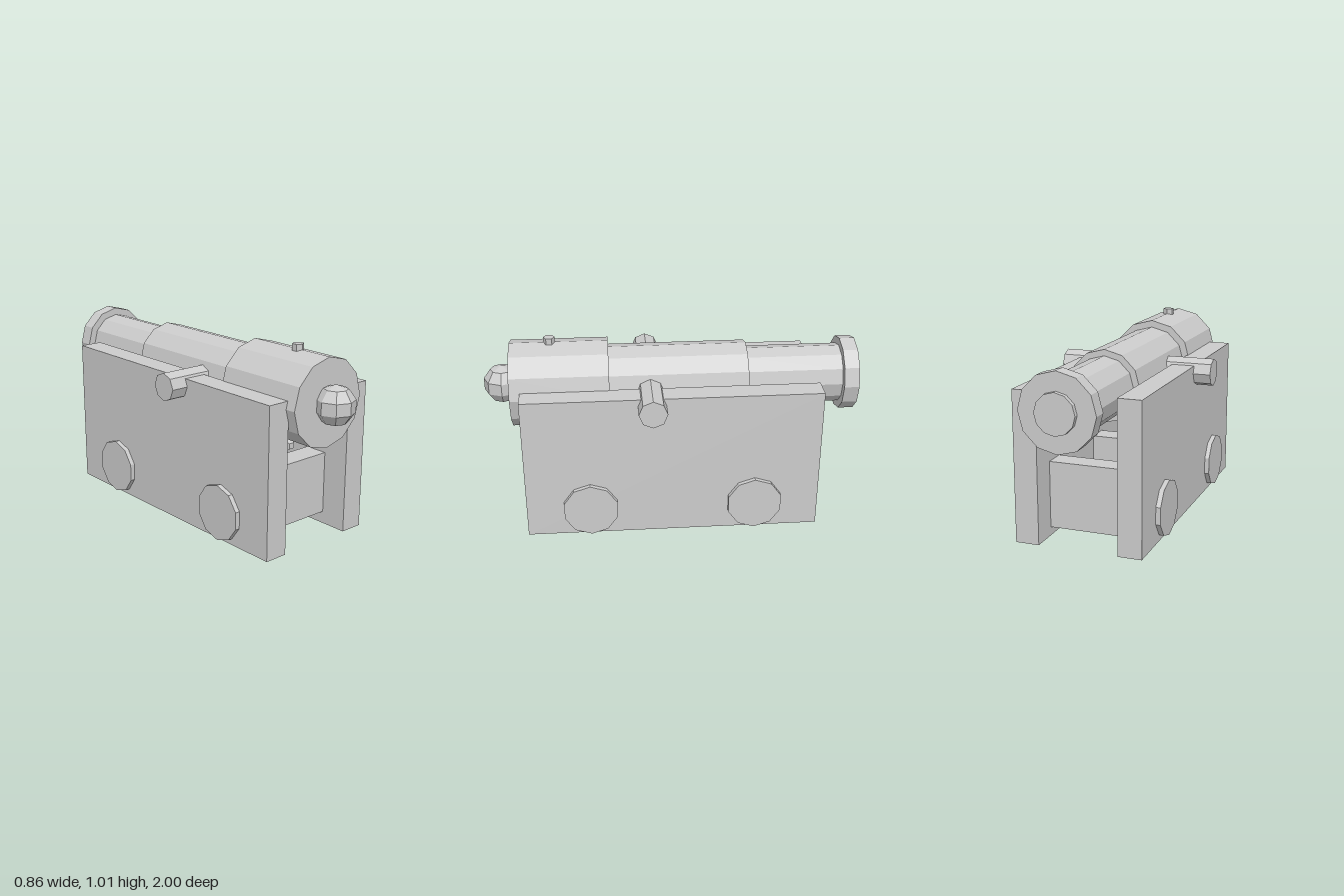
import * as THREE from 'three';

export function createModel() {
  const group = new THREE.Group();
  group.name = 'cannon';
  const mat = new THREE.MeshStandardMaterial({ color: 0xcccccc, flatShading: true });

  const add = (name, geo, x = 0, y = 0, z = 0) => {
    const mesh = new THREE.Mesh(geo, mat);
    mesh.name = name;
    mesh.position.set(x, y, z);
    group.add(mesh);
    return mesh;
  };
  // box given by its limits along each axis
  const block = (name, [x0, x1], [y0, y1], [z0, z1]) =>
    add(name, new THREE.BoxGeometry(x1 - x0, y1 - y0, z1 - z0), (x0 + x1) / 2, (y0 + y1) / 2, (z0 + z1) / 2);
  // cylinder lying along z, with a corner at the top
  const alongZ = (name, r, z0, z1, sides = 12) =>
    add(name, new THREE.CylinderGeometry(r, r, z1 - z0, sides).rotateX(Math.PI / 2), 0, 0.75, (z0 + z1) / 2);
  // cylinder lying along x
  const alongX = (name, r, length, sides, x, y, z) =>
    add(name, new THREE.CylinderGeometry(r, r, length, sides).rotateZ(Math.PI / 2), x, y, z);

  // Barrel: stepped sections from breech to muzzle
  alongZ('breech', 0.228, 0.34, 0.855);
  alongZ('barrelMiddle', 0.19, -0.39, 0.34);
  alongZ('barrelChase', 0.157, -0.9, -0.39);
  alongZ('muzzleRing', 0.197, -0.975, -0.895);
  alongZ('muzzleDisc', 0.103, -1, -0.975);
  add('breechKnob', new THREE.SphereGeometry(0.103, 8, 5), 0, 0.75, 0.902);
  add('ventPlug', new THREE.CylinderGeometry(0.03, 0.03, 0.06, 6), 0, 0.976, 0.645);
  alongX('trunnion', 0.074, 0.856, 8, 0, 0.75, 0.127);

  // Carriage sides
  for (const s of [-1, 1]) {
    const cheek = block('cheek', [-0.0625, 0.0625], [0, 0.79], [-0.76, 0.8]);
    cheek.position.x = s * 0.2725;
  }

  // Cross pieces between the sides
  block('frontTransom', [-0.21, 0.21], [0.065, 0.395], [0.53, 0.655]);
  block('middleTransom', [-0.21, 0.21], [0.045, 0.375], [-0.04, 0.085]);
  block('rearTransom', [-0.21, 0.21], [0.045, 0.395], [-0.615, -0.495]);

  // Axles with hub discs on the outside
  for (const z of [0.46, -0.415]) {
    alongX('axle', 0.05, 0.5, 10, 0, 0.153, z);
    for (const s of [-1, 1]) {
      const disc = alongX('wheelDisc', 0.148, 0.05, 10, s * 0.335, 0.153, z);
      disc.rotation.x = Math.PI / 2;
    }
  }

  // Elevating wedge: a four-sided taper pointing to the breech
  const wedge = new THREE.CylinderGeometry(0.021, 0.205, 0.32, 4, 1, false, Math.PI / 4).rotateX(Math.PI / 2);
  add('elevatingWedge', wedge, 0, 0.47, 0.46);

  return group;
}
